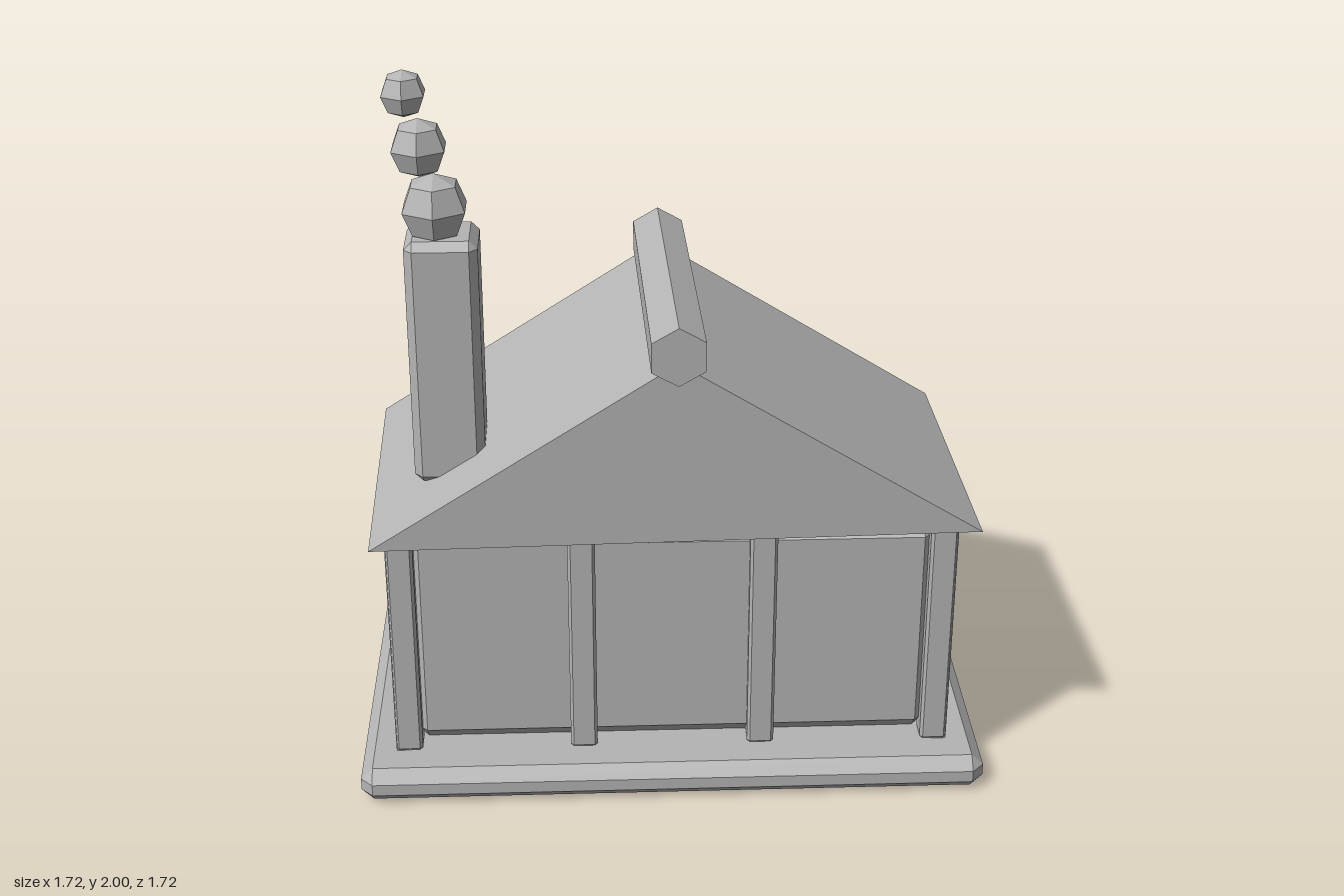
import * as THREE from 'three';
import { ConvexGeometry } from 'three/addons/geometries/ConvexGeometry.js';

const clay = new THREE.MeshStandardMaterial({ color: 0xb4b4b4, flatShading: true });
clay.name = 'plain grey';

export function createModel() {
  const model = new THREE.Group();
  model.name = 'cottage';

  function add(name, geometry, x = 0, y = 0, z = 0, parent = model) {
    const mesh = new THREE.Mesh(geometry, clay);
    mesh.name = name;
    mesh.position.set(x, y, z);
    parent.add(mesh);
    return mesh;
  }

  // Box with chamfered edges, given by its limits on each axis
  function block(name, [x0, x1], [y0, y1], [z0, z1], b = 0.01) {
    const h = [(x1 - x0) / 2, (y1 - y0) / 2, (z1 - z0) / 2];
    const points = [];
    for (const sx of [-1, 1]) for (const sy of [-1, 1]) for (const sz of [-1, 1]) {
      for (let full = 0; full < 3; full++) {
        const [px, py, pz] = h.map((v, i) => (i === full ? v : v - b));
        points.push(new THREE.Vector3(sx * px, sy * py, sz * pz));
      }
    }
    return add(name, new ConvexGeometry(points), (x0 + x1) / 2, (y0 + y1) / 2, (z0 + z1) / 2);
  }

  function ball(name, r, x, y, z, sides = 6, rings = 4) {
    const mesh = add(name, new THREE.SphereGeometry(r, sides, rings), x, y, z);
    mesh.rotation.y = Math.PI / 6;
    return mesh;
  }

  // Ground slab and the log along its back edge
  block('groundSlab', [-0.86, 0.86], [0, 0.1], [-0.86, 0.86], 0.033);
  block('edgeLog', [-0.82, 0.81], [0.1, 0.165], [-0.86, -0.8], 0.018);

  // Walls, side panels and timber posts
  block('walls', [-0.73, 0.73], [0.1, 0.785], [0.065, 0.725], 0.05);
  for (const s of [-1, 1]) {
    add('sidePanel', new THREE.BoxGeometry(0.04, 0.69, 0.7), s * 0.745, 0.44, 0.395);
  }
  for (const x of [-0.73, -0.245, 0.245, 0.73]) {
    for (const z of [0.075, 0.715]) {
      block('timberPost', [x - 0.037, x + 0.037], [0.1, 0.79], [z - 0.035, z + 0.035], 0.008);
    }
  }

  // Roof prism and hexagonal ridge, turned slightly off square
  const roof = new THREE.Group();
  roof.name = 'roof';
  roof.position.set(0, 0, 0.387);
  roof.rotation.y = 0.026;
  model.add(roof);
  const gable = new THREE.Shape();
  gable.moveTo(-0.81, 0.785);
  gable.lineTo(0.81, 0.785);
  gable.lineTo(0, 1.3);
  gable.closePath();
  add('gableRoof', new THREE.ExtrudeGeometry(gable, { depth: 0.846, bevelEnabled: false }), 0, 0, -0.423, roof);
  const ridge = new THREE.CylinderGeometry(0.081, 0.081, 0.86, 6);
  ridge.rotateX(Math.PI / 2);
  add('ridgeBeam', ridge, 0, 1.32, 0, roof);

  // Chimney with rising smoke
  block('chimney', [-0.685, -0.495], [0.88, 1.567], [0.458, 0.643], 0.022);
  for (const [x, y, r] of [[-0.605, 1.635, 0.093], [-0.638, 1.797, 0.078], [-0.67, 1.94, 0.062]]) {
    ball('smokePuff', r, x, y, 0.555);
  }

  // Door, windows and path on the yard side
  block('door', [-0.15, 0.13], [0.1, 0.51], [0.005, 0.08], 0.018);
  for (const x of [0.48, -0.505]) {
    block('window', [x - 0.1, x + 0.1], [0.45, 0.635], [0.016, 0.08], 0.015);
  }
  for (const x of [-0.14, -0.025]) {
    block('pathPlank', [x - 0.037, x + 0.037], [0.095, 0.115], [-0.13, 0.05], 0.004).rotation.y = x < -0.1 ? 0.06 : -0.08;
  }

  // Two-step terrace
  block('terrace', [-0.31, 0.69], [0.1, 0.19], [-0.68, -0.105], 0.025);
  block('terraceTop', [-0.25, 0.635], [0.17, 0.208], [-0.62, -0.165], 0.01);

  // String of shrinking puffs over the terrace
  for (const [x, y, r] of [[0.08, 0.32, 0.08], [-0.02, 0.4, 0.07], [-0.12, 0.48, 0.06], [-0.215, 0.558, 0.05]]) {
    ball('steamPuff', r, x, y, -0.4);
  }

  // Pedestal with a side peg
  block('pedestal', [0.52, 0.64], [0.2, 0.47], [-0.458, -0.338], 0.015);
  const peg = new THREE.LineCurve3(new THREE.Vector3(0.57, 0.355, -0.395), new THREE.Vector3(0.355, 0.465, -0.395));
  add('peg', new THREE.TubeGeometry(peg, 1, 0.013, 6)).material = clay;
  const pegEnd = add('pegEnd', new THREE.CylinderGeometry(0.013, 0.013, 0.004, 6), 0.355, 0.465, -0.395);
  pegEnd.rotation.z = 1.1;

  // Bird
  ball('birdBody', 1, 0.58, 0.558, -0.367, 10, 6).scale.set(0.113, 0.09, 0.145);
  model.children.at(-1).rotation.y = 0;
  ball('birdHead', 0.072, 0.58, 0.673, -0.487, 8, 6);
  const beak = add('birdBeak', new THREE.CylinderGeometry(0.018, 0.03, 0.075, 6), 0.58, 0.664, -0.56);
  beak.rotation.x = -Math.PI / 2;
  for (const s of [-1, 1]) ball('birdEye', 0.014, 0.58 + s * 0.036, 0.695, -0.54);

  // Barrels with a chamfered rim
  const barrel = [[0, 0], [0.085, 0], [0.097, 0.02], [0.097, 0.12], [0.083, 0.14], [0, 0.14]]
    .map(([r, y]) => new THREE.Vector2(r, y));
  for (const x of [-0.732, -0.538]) add('barrel', new THREE.LatheGeometry(barrel, 8), x, 0.1, -0.525);

  // Fence: end posts, rail and uneven boards
  for (const x of [-0.815, -0.405]) {
    add('fencePost', new THREE.CylinderGeometry(0.03, 0.03, 0.39, 5), x, 0.295, -0.195);
  }
  add('fenceRail', new THREE.BoxGeometry(0.4, 0.03, 0.014), -0.61, 0.28, -0.192);
  [[-0.5, 0.41, 0.04], [-0.61, 0.36, -0.05], [-0.735, 0.385, 0.04]].forEach(([x, top, turn]) => {
    block('fenceBoard', [x - 0.045, x + 0.045], [0.1, top], [-0.212, -0.19], 0.005).rotation.y = turn;
  });

  return model;
}
